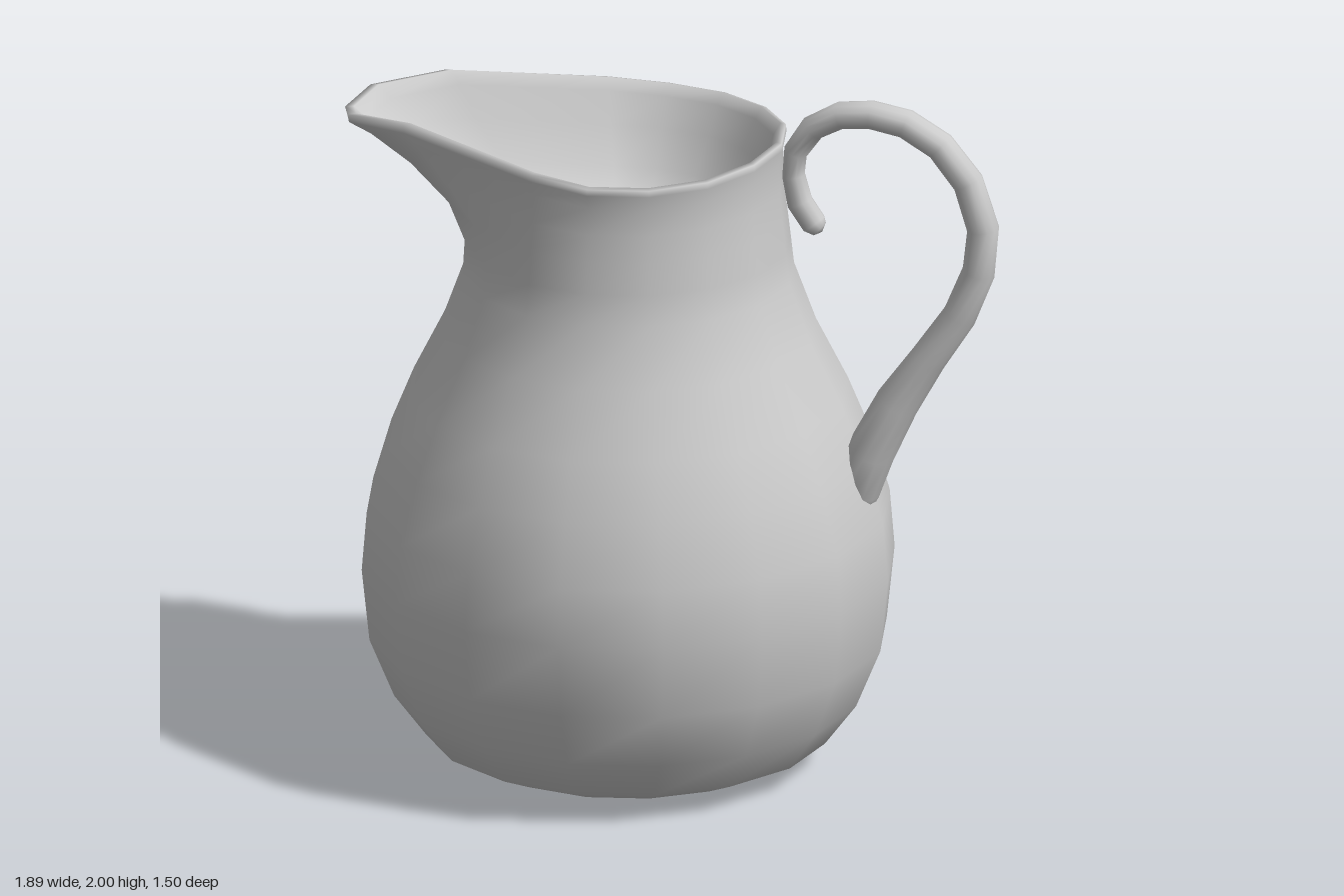
import * as THREE from 'three';

const material = new THREE.MeshStandardMaterial({ color: 0xcccccc, side: THREE.DoubleSide });

// Smooth skin through rings of equal point count, closed at both ends by a centre point
function loft(name, rings, start, end) {
  const n = rings[0].length, last = (rings.length - 1) * n;
  const points = [...rings.flat(), start, end];
  const a = rings.length * n, b = a + 1, index = [];
  for (let k = 0; k < n; k++) {
    const m = (k + 1) % n;
    index.push(a, k, m, b, last + m, last + k);
    for (let i = 0; i < rings.length - 1; i++) {
      const p = i * n, q = p + n;
      index.push(p + k, q + k, p + m, p + m, q + k, q + m);
    }
  }
  const geometry = new THREE.BufferGeometry().setFromPoints(points);
  geometry.setIndex(index);
  geometry.computeVertexNormals();
  const mesh = new THREE.Mesh(geometry, material);
  mesh.name = name;
  return mesh;
}

const CENTRE = -0.13, SIDES = 16, RIM = 0.445;
// Rim position [x, z] of the spout points, counted from the handle side
const SPOUT = { 6: [-0.72, 0.23], 7: [-0.91, 0.125], 8: [-0.95, 0] };
const LIFT = [0.02, 0.015, 0.005, 0, 0, 0.015, 0.06, 0.035, 0.01];

// One ring of the jug: pull draws the spout out, lift shapes the wavy rim, rise tilts the spout
function jugRing([r, y, pull = 0, lift = 0, rise = 0]) {
  return Array.from({ length: SIDES }, (_, k) => {
    const j = Math.min(k, SIDES - k), side = k > SIDES / 2 ? -1 : 1;
    const angle = (j / SIDES) * Math.PI * 2;
    const cx = Math.cos(angle), cz = Math.sin(angle);
    let x = CENTRE + r * cx, z = r * cz;
    if (SPOUT[j]) {
      x += pull * (SPOUT[j][0] - CENTRE - RIM * cx);
      z += pull * (SPOUT[j][1] - RIM * cz);
    }
    const tilt = j > 6 ? rise : j === 6 ? rise / 2 : 0;
    return new THREE.Vector3(x, y + lift * LIFT[j] + tilt, z * side);
  });
}

function makeJug() {
  const rows = [
    // base and belly
    [0.3, 0.005], [0.45, 0.017], [0.57, 0.07], [0.66, 0.19], [0.73, 0.36],
    [0.752, 0.57], [0.738, 0.74], [0.685, 0.92], [0.62, 1.08], [0.53, 1.26],
    // neck and underside of spout
    [0.468, 1.43], [0.458, 1.52, 0.01, 0, 0.02], [0.447, 1.61, 0.17, 0.1, 0.03],
    [0.44, 1.69, 0.5, 0.4, 0.04], [0.437, 1.77, 0.83, 0.7, 0.02],
    // rolled rim
    [0.447, 1.81, 0.98, 0.9], [0.445, 1.828, 1, 1], [0.43, 1.832, 0.97, 1],
    // inside
    [0.41, 1.8, 0.92, 0.9], [0.37, 1.72, 0.83, 0.5, 0.03],
    [0.31, 1.62, 0.68, 0.2, 0.05], [0.25, 1.57, 0.54, 0, 0.05], [0.2, 1.56, 0.43, 0, 0.03]
  ];
  return loft('jugBody', rows.map(jugRing),
    new THREE.Vector3(CENTRE, 0, 0), new THREE.Vector3(CENTRE - 0.03, 1.555, 0));
}

function makeHandle() {
  // x, y, half thickness in the plane of the handle, half width across it
  const path = [
    [0.425, 1.605, 0.025, 0.025], [0.408, 1.62, 0.036, 0.036], [0.367, 1.68, 0.037, 0.037],
    [0.349, 1.76, 0.032, 0.038], [0.355, 1.83, 0.034, 0.04], [0.405, 1.905, 0.037, 0.042],
    [0.485, 1.95, 0.039, 0.044], [0.575, 1.96, 0.04, 0.045], [0.675, 1.943, 0.041, 0.046],
    [0.775, 1.885, 0.042, 0.046], [0.855, 1.785, 0.044, 0.046], [0.898, 1.65, 0.046, 0.047],
    [0.885, 1.52, 0.047, 0.048], [0.83, 1.385, 0.048, 0.052], [0.74, 1.25, 0.051, 0.06],
    [0.65, 1.11, 0.062, 0.074], [0.575, 0.96, 0.068, 0.09], [0.535, 0.84, 0.064, 0.078],
    [0.52, 0.785, 0.05, 0.05]
  ];
  const rings = path.map(([x, y, thick, wide], i) => {
    const p = path[Math.max(i - 1, 0)], q = path[Math.min(i + 1, path.length - 1)];
    const t = new THREE.Vector2(q[0] - p[0], q[1] - p[1]).normalize();
    return Array.from({ length: 12 }, (_, k) => {
      const a = (k / 12) * Math.PI * 2, c = Math.cos(a) * thick;
      return new THREE.Vector3(x + t.y * c, y - t.x * c, Math.sin(a) * wide);
    });
  });
  return loft('handle', rings, new THREE.Vector3(0.432, 1.597, 0), new THREE.Vector3(0.515, 0.775, 0));
}

export function createModel() {
  const group = new THREE.Group();
  group.name = 'pitcher';
  group.add(makeJug(), makeHandle());
  return group;
}
